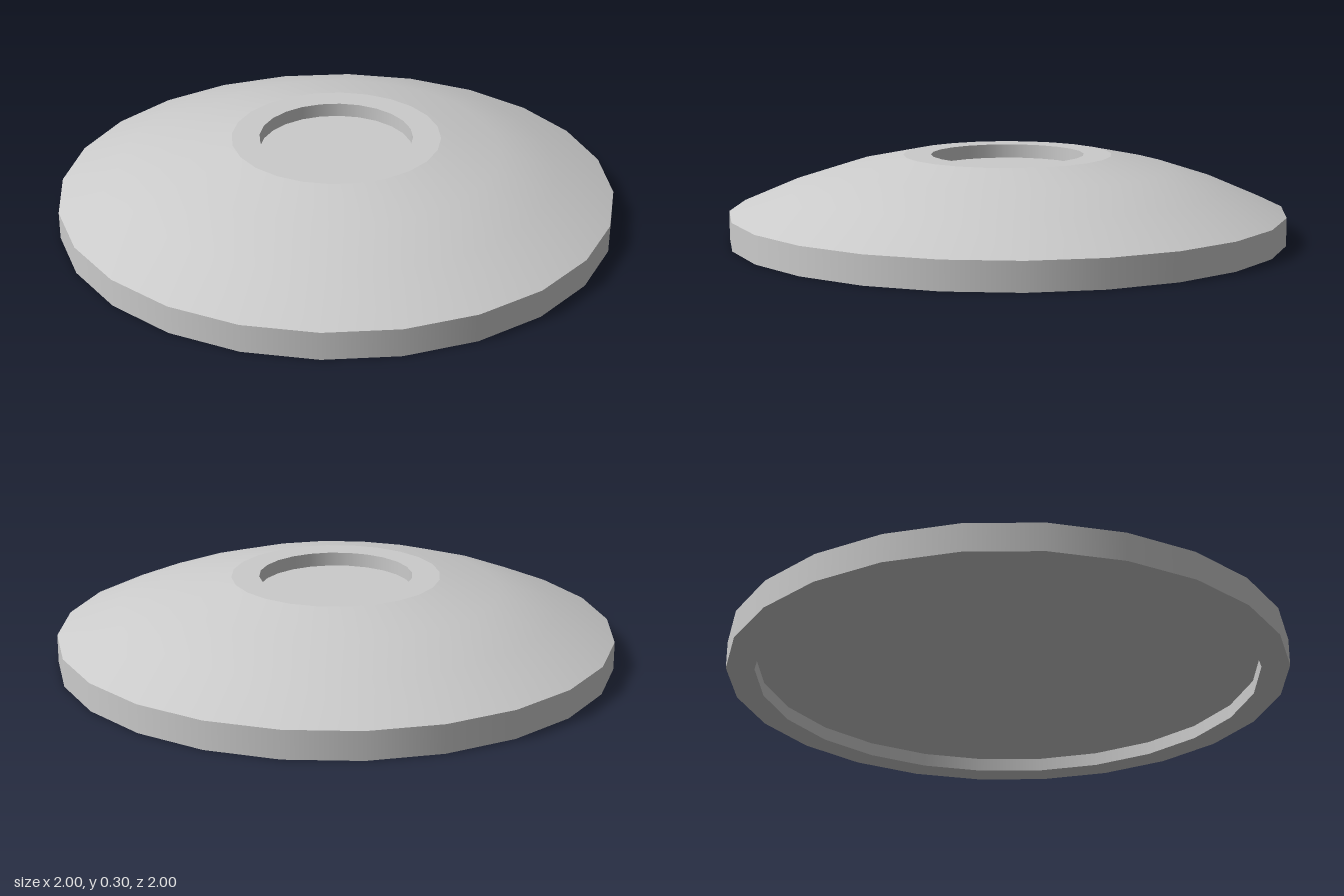
import * as THREE from 'three';

const SIDES = 24;

// Each section is one smooth ring surface; the joins between sections stay sharp.
// Points are [radius, height], running from the underside around to the top.
const sections = {
  undersideFloor: [[0, 0.05], [0.9, 0.05]],
  undersideWall: [[0.9, 0.05], [0.9, 0]],
  baseRing: [[0.9, 0], [1, 0]],
  rim: [[1, 0], [1, 0.1]],
  dome: [[1, 0.1], [0.79, 0.19], [0.59, 0.255], [0.375, 0.3]],
  topRing: [[0.375, 0.3], [0.275, 0.3]],
  socketWall: [[0.275, 0.3], [0.275, 0.25]],
  socketFloor: [[0.275, 0.25], [0, 0.25]],
};

export function createModel() {
  const material = new THREE.MeshStandardMaterial({ color: 0xcccccc });
  const group = new THREE.Group();
  group.name = 'domedDisc';
  for (const [name, profile] of Object.entries(sections)) {
    const points = profile.map(([r, y]) => new THREE.Vector2(r, y));
    const mesh = new THREE.Mesh(new THREE.LatheGeometry(points, SIDES), material);
    mesh.name = name;
    group.add(mesh);
  }
  return group;
}
